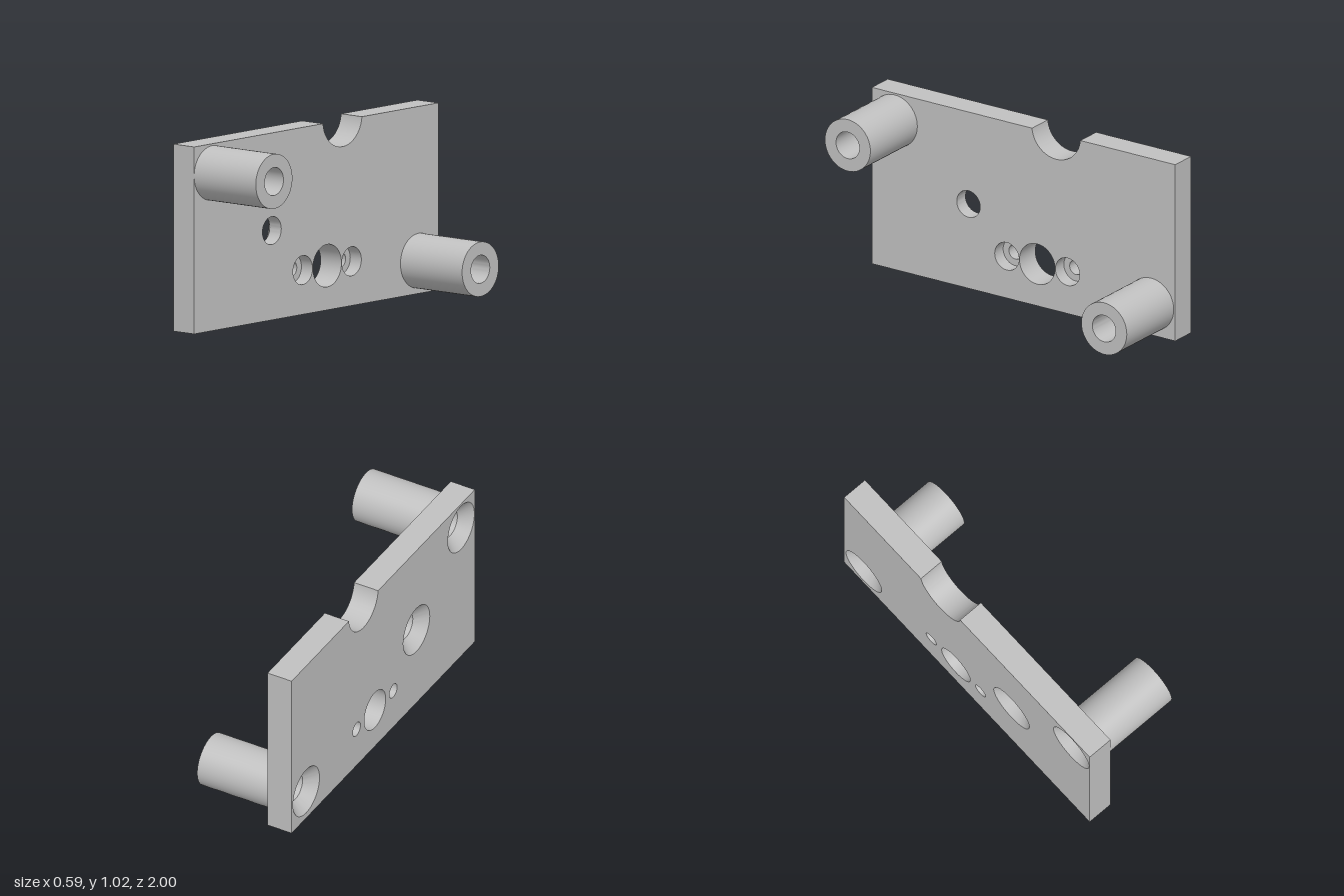
import * as THREE from 'three';
import { toCreasedNormals } from 'three/addons/utils/BufferGeometryUtils.js';

const BACK = -0.297, FACE = -0.147, TIP = 0.297, HEIGHT = 1.025;
const SEG = 24; // curve segments per half circle

// Profiles are [radius, depth]; they run from the open face to the back.
const sink = [[0.077, -0.23], [0.145, BACK]];
const standoff = [[0.15, FACE], [0.15, TIP], [0.077, TIP], ...sink];
const sunkHole = [[0.077, FACE], ...sink];
const boredHole = [[0.08, FACE], [0.08, -0.227], [0.042, -0.227], [0.042, BACK]];
const plainHole = [[0.117, FACE], [0.117, BACK]];

// Position (z, y), radius in each plate face, and profile
const features = [
  { name: 'upperStandoff', z: 0.85, y: 0.865, front: 0.077, back: 0.145, profile: standoff },
  { name: 'lowerStandoff', z: -0.84, y: 0.18, front: 0.077, back: 0.145, profile: standoff },
  { name: 'countersunkHole', z: 0.363, y: 0.49, front: 0.077, back: 0.145, profile: sunkHole },
  { name: 'leftCounterbore', z: 0.11, y: 0.243, front: 0.08, back: 0.042, profile: boredHole },
  { name: 'rightCounterbore', z: -0.29, y: 0.243, front: 0.08, back: 0.042, profile: boredHole },
  { name: 'centreHole', z: -0.09, y: 0.243, front: 0.117, back: 0.117, profile: plainHole },
];

// Plate outline with the round notch in its top edge; shape x is -z
function plateShape(side) {
  const s = new THREE.Shape();
  const r = 0.16, cy = 1.04, a = -Math.asin((cy - HEIGHT) / r);
  s.moveTo(-1, 0);
  s.lineTo(1, 0);
  s.lineTo(1, HEIGHT);
  s.absarc(0.215, cy, r, a, -Math.PI - a, true);
  s.lineTo(-1, HEIGHT);
  s.closePath();
  if (side) {
    for (const f of features) {
      s.holes.push(new THREE.Path().absarc(-f.z, f.y, f[side], 0, Math.PI * 2, true));
    }
  }
  return s;
}

// Wall strip around the outline
function wallGeometry() {
  const pts = plateShape().extractPoints(SEG).shape;
  const pos = [];
  pts.forEach((a, i) => {
    const b = pts[(i + 1) % pts.length];
    if (a.distanceTo(b) < 1e-6) return;
    pos.push(a.x, a.y, BACK, b.x, b.y, BACK, b.x, b.y, FACE);
    pos.push(a.x, a.y, BACK, b.x, b.y, FACE, a.x, a.y, FACE);
  });
  const g = new THREE.BufferGeometry();
  g.setAttribute('position', new THREE.Float32BufferAttribute(pos, 3));
  g.computeVertexNormals();
  return g;
}

export function createModel() {
  const group = new THREE.Group();
  group.name = 'mountingPlate';
  const metal = new THREE.MeshStandardMaterial({ color: 0xc0c0c0 });
  metal.name = 'light grey metal';

  const add = (name, geometry) => {
    // Turn the drawing plane so that its depth runs along x
    const mesh = new THREE.Mesh(toCreasedNormals(geometry, 0.5).rotateY(Math.PI / 2), metal);
    mesh.name = name;
    group.add(mesh);
  };

  // Plate faces and rim
  add('plateFront', new THREE.ShapeGeometry(plateShape('front'), SEG).translate(0, 0, FACE));
  const back = new THREE.ShapeGeometry(plateShape('back'), SEG).translate(0, 0, BACK);
  back.index.array.reverse();
  add('plateBack', back);
  add('plateRim', wallGeometry());

  // Standoffs and hole walls
  for (const f of features) {
    const points = f.profile.map(([r, d]) => new THREE.Vector2(r, d));
    add(f.name, new THREE.LatheGeometry(points, SEG * 2).rotateX(Math.PI / 2).translate(-f.z, f.y, 0));
  }
  return group;
}
